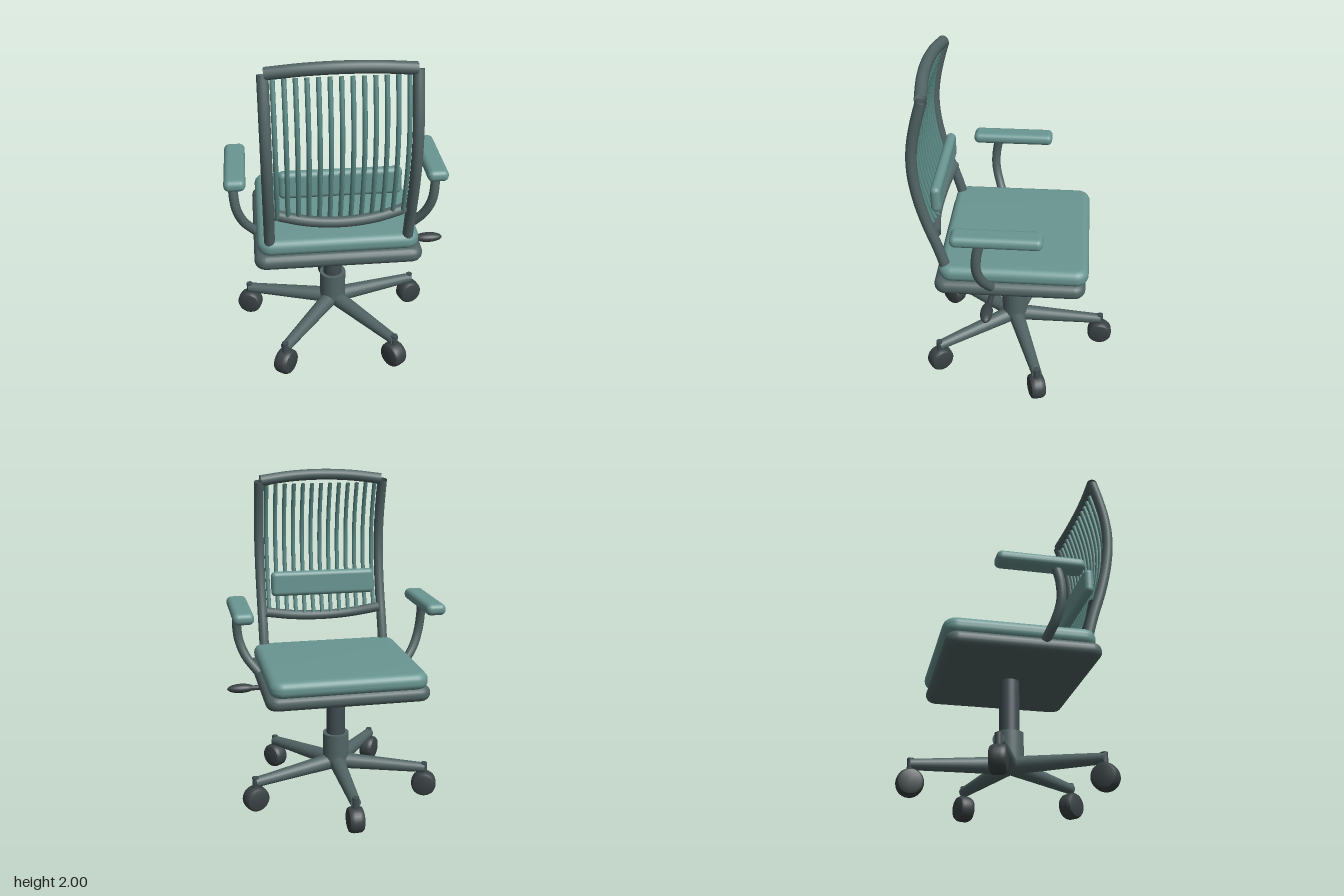
import * as THREE from 'three';
import { RoundedBoxGeometry } from 'three/addons/geometries/RoundedBoxGeometry.js';
import { mergeVertices, toCreasedNormals } from 'three/addons/utils/BufferGeometryUtils.js';

const paint = (color, side = THREE.FrontSide) => new THREE.MeshStandardMaterial({ color, side });
const fabric = paint(0x6a9692);
const slatPaint = paint(0x5b8a85, THREE.DoubleSide);
const frame = paint(0x526464);
const framePipe = paint(0x526464, THREE.DoubleSide);
const steel = paint(0x414d52);
const rubber = paint(0x3a4244);

const v = (x, y, z) => new THREE.Vector3(x, y, z);

function add(parent, name, geometry, material, x = 0, y = 0, z = 0) {
  const mesh = new THREE.Mesh(geometry, material);
  mesh.name = name;
  mesh.position.set(x, y, z);
  parent.add(mesh);
  return mesh;
}

// Smooth pipe through a list of points
function pipe(points, radius, segments = 32, sides = 16) {
  return new THREE.TubeGeometry(new THREE.CatmullRomCurve3(points), segments, radius, sides);
}

// Straight tapered rod from a to b
function rod(a, b, ra, rb) {
  const dir = b.clone().sub(a);
  const g = new THREE.CylinderGeometry(rb, ra, dir.length(), 20);
  g.applyQuaternion(new THREE.Quaternion().setFromUnitVectors(v(0, 1, 0), dir.normalize()));
  const mid = a.clone().add(b).multiplyScalar(0.5);
  return g.translate(mid.x, mid.y, mid.z);
}

// Horizontal slab with rounded plan corners and a rolled edge, centred on the origin
function slab(w, h, d, corner, bevel) {
  const x = w / 2 - bevel, y = d / 2 - bevel, r = corner - bevel;
  const s = new THREE.Shape();
  s.absarc(x - r, y - r, r, 0, Math.PI / 2);
  s.absarc(-x + r, y - r, r, Math.PI / 2, Math.PI);
  s.absarc(-x + r, -y + r, r, Math.PI, Math.PI * 1.5);
  s.absarc(x - r, -y + r, r, Math.PI * 1.5, Math.PI * 2);
  const g = new THREE.ExtrudeGeometry(s, {
    depth: h - 2 * bevel, bevelSize: bevel, bevelThickness: bevel, bevelSegments: 6, curveSegments: 6,
  });
  g.translate(0, 0, bevel - h / 2).rotateX(-Math.PI / 2);
  g.deleteAttribute('normal');
  g.deleteAttribute('uv');
  return toCreasedNormals(mergeVertices(g), 0.7);
}

// Side curve of the backrest, as (z, y) points
const backCurve = new THREE.SplineCurve([
  [0.42, 0.88], [0.452, 1.0], [0.51, 1.18], [0.552, 1.36], [0.569, 1.55], [0.545, 1.74], [0.49, 1.93],
].map(([z, y]) => new THREE.Vector2(z, y)));

function backPoints(x, from, to, dz = 0) {
  return Array.from({ length: 11 }, (_, i) => {
    const p = backCurve.getPoint(from + (to - from) * i / 10);
    return v(x, p.y, p.x + dz);
  });
}

function buildBase() {
  const base = new THREE.Group();
  base.name = 'base';
  base.position.z = 0.045;
  add(base, 'gasColumn', new THREE.CylinderGeometry(0.059, 0.059, 0.38, 32), steel, 0, 0.55);
  add(base, 'columnSleeve', new THREE.CylinderGeometry(0.082, 0.082, 0.19, 32), frame, 0, 0.305);

  const wheelProfile = [
    [0, -0.047], [0.055, -0.047], [0.068, -0.042], [0.076, -0.03], [0.078, -0.015],
    [0.078, 0.015], [0.076, 0.03], [0.068, 0.042], [0.055, 0.047], [0, 0.047],
  ].map(([r, y]) => new THREE.Vector2(r, y));
  const wheel = toCreasedNormals(new THREE.LatheGeometry(wheelProfile, 28).rotateZ(Math.PI / 2), 0.6);
  const leg = rod(v(0, 0.21, 0), v(0, 0.183, -0.565), 0.052, 0.031);

  for (let i = 0; i < 5; i++) {
    const spoke = new THREE.Group();
    spoke.name = 'spoke';
    spoke.rotation.y = i * Math.PI * 2 / 5;
    add(spoke, 'leg', leg, frame);
    add(spoke, 'casterPin', new THREE.CylinderGeometry(0.02, 0.02, 0.12, 16), steel, 0, 0.157, -0.562);
    add(spoke, 'casterWheel', wheel, rubber, 0, 0.078, -0.562);
    base.add(spoke);
  }
  return base;
}

function buildSeat() {
  const seat = new THREE.Group();
  seat.name = 'seat';
  add(seat, 'seatPan', slab(0.975, 0.09, 0.885, 0.07, 0.043), frame, 0, 0.766, 0.042);
  add(seat, 'seatCushion', slab(0.935, 0.1, 0.875, 0.08, 0.045), fabric, 0, 0.85, 0.022);

  // Height lever with a flattened grip
  add(seat, 'leverRod', rod(v(0.33, 0.695, 0.14), v(0.56, 0.692, 0.158), 0.017, 0.015), rubber);
  const grip = new THREE.SphereGeometry(1, 24, 16).scale(0.085, 0.028, 0.036);
  add(seat, 'leverGrip', grip, rubber, 0.58, 0.692, 0.162);
  return seat;
}

function buildBackrest() {
  const back = new THREE.Group();
  back.name = 'backrest';
  for (const side of [-1, 1]) {
    add(back, 'backPost', pipe(backPoints(side * 0.397, 0, 1), 0.031, 40), framePipe);
  }

  // Bowed rails between the posts
  const bow = (y0, y1, z0, z1, half) => [-1, -0.5, 0, 0.5, 1].map((t) =>
    v(t * half, y1 + (y0 - y1) * t * t, z1 + (z0 - z1) * t * t));
  add(back, 'topRail', pipe(bow(1.935, 1.966, 0.495, 0.525, 0.388), 0.034), framePipe);
  add(back, 'bottomRail', pipe(bow(1.098, 1.052, 0.465, 0.507, 0.38), 0.031), framePipe);

  // Thirteen slender slats
  for (let i = -6; i <= 6; i++) {
    add(back, 'slat', pipe(backPoints(i * 0.0582, 0.24, 0.972, 0.008), 0.0135, 24, 10), slatPaint);
  }
  add(back, 'lumbarPad', new RoundedBoxGeometry(0.675, 0.16, 0.06, 5, 0.029), fabric, 0, 1.28, 0.465);
  return back;
}

function buildArm(side) {
  const arm = new THREE.Group();
  arm.name = side > 0 ? 'leftArm' : 'rightArm';
  const path = [
    [0.585, 1.2, 0.185], [0.59, 1.1, 0.208], [0.578, 0.99, 0.213], [0.54, 0.89, 0.19], [0.465, 0.79, 0.148],
  ].map(([x, y, z]) => v(side * x, y, z));
  add(arm, 'armSupport', pipe(path, 0.028), framePipe);
  add(arm, 'armPad', new RoundedBoxGeometry(0.123, 0.07, 0.507, 5, 0.032), fabric, side * 0.577, 1.21, 0.097);
  return arm;
}

export function createModel() {
  const model = new THREE.Group();
  model.name = 'officeChair';
  const chair = new THREE.Group();
  chair.name = 'chair';
  chair.position.x = -0.016;
  chair.add(buildBase(), buildSeat(), buildBackrest(), buildArm(1), buildArm(-1));
  model.add(chair);
  return model;
}
